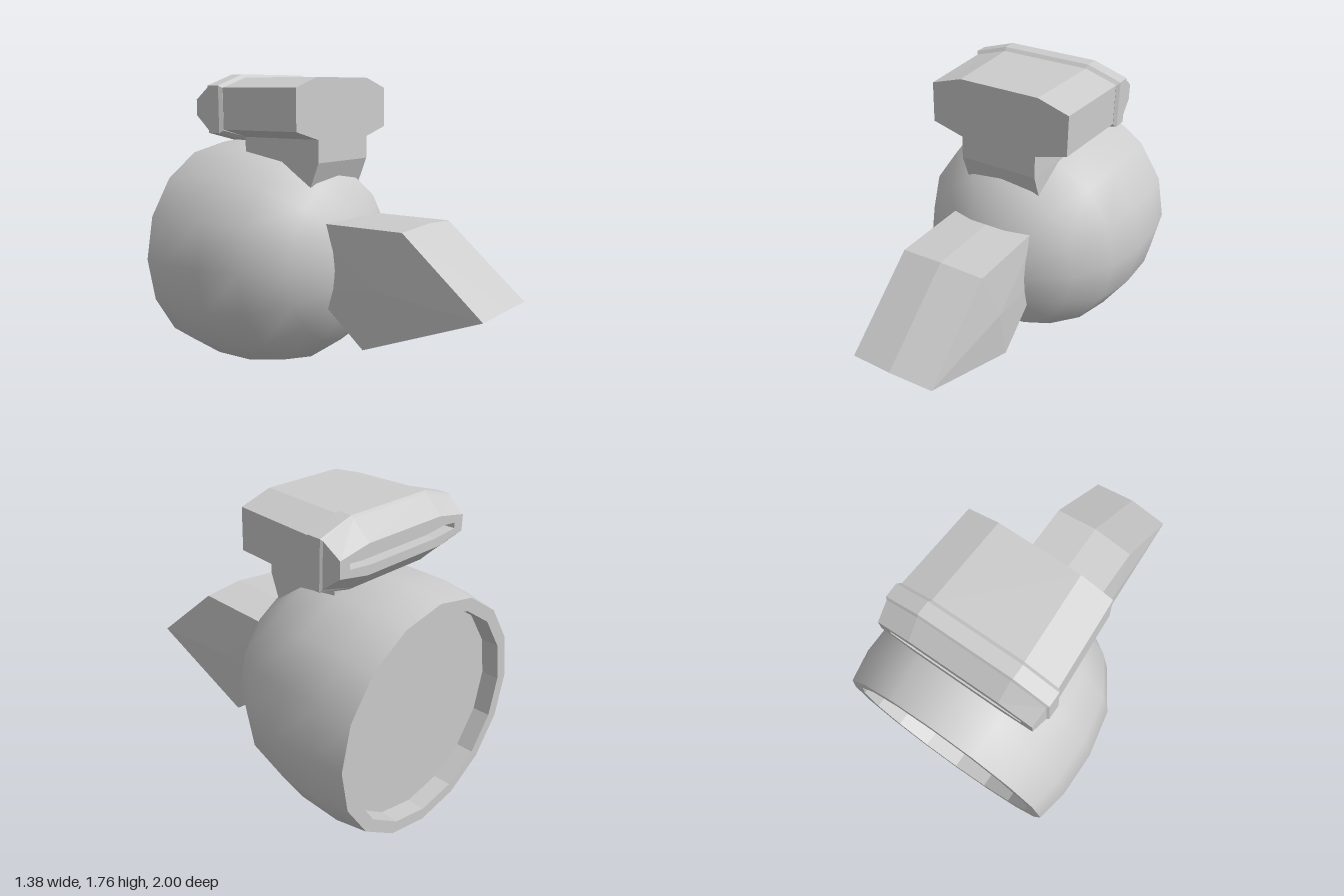
import * as THREE from 'three';

const V = (x, y, z) => new THREE.Vector3(x, y, z);

// Flat-shaded skin through equal rings, closed by a fan at each end
function loft(rings, startCentre, endCentre) {
  const pts = [];
  const n = rings[0].length;
  const last = rings[rings.length - 1];
  for (let i = 0; i < n; i++) {
    const j = (i + 1) % n;
    pts.push(startCentre, rings[0][i], rings[0][j]);
    for (let k = 0; k < rings.length - 1; k++) {
      const a = rings[k], b = rings[k + 1];
      pts.push(a[i], b[i], a[j], a[j], b[i], b[j]);
    }
    pts.push(endCentre, last[j], last[i]);
  }
  const g = new THREE.BufferGeometry().setFromPoints(pts);
  g.computeVertexNormals();
  return g;
}

// Eight-cornered section: flat top and bottom, sloping shoulders, upright ends
function section(z, flat, wide, top, shoulder, hip, bottom) {
  const right = [[flat, bottom], [wide, hip], [wide, shoulder], [flat, top]];
  const left = right.map(([x, y]) => [-x, y]).reverse();
  return [...right, ...left].map(([x, y]) => V(x, y, z));
}

export function createModel() {
  const model = new THREE.Group();
  const grey = new THREE.MeshStandardMaterial({ color: 0xcccccc });
  grey.name = 'lightGrey';
  const add = (name, geometry) => {
    const mesh = new THREE.Mesh(geometry, grey);
    mesh.name = name;
    model.add(mesh);
    return mesh;
  };
  const lathe = (profile) => new THREE.LatheGeometry(
    profile.map(([r, z]) => new THREE.Vector2(r, z)), 16).rotateX(Math.PI / 2).translate(0, 0.695, 0);

  // Round shell, open at the back
  add('bodyShell', lathe([[0.655, -1], [0.69, -0.82], [0.69, -0.56], [0.637, -0.296],
    [0.488, -0.072], [0.264, 0.077], [0, 0.13]]));

  // Rear rim and the recessed disc inside it
  const rim = lathe([[0, -0.9], [0.585, -0.9], [0.585, -1], [0.655, -1]]).toNonIndexed();
  rim.computeVertexNormals();
  add('rearRim', rim);

  // Angular snout: side outlines (z, y), a slightly fuller middle, bulged cheeks
  const side = [[-0.1, 0.95], [0.505, 0.95], [0.98, 0.545], [0.26, 0.27], [-0.1, 0.57]];
  const middle = [[-0.1, 0.967], [0.52, 0.967], [1, 0.56], [0.275, 0.245], [-0.1, 0.55]];
  const outline = (pts, x) => pts.map(([z, y]) => V(x, y, z));
  add('snout', loft([outline(side, 0.252), outline(middle, 0), outline(side, -0.252)],
    V(0.272, 0.62, 0.36), V(-0.272, 0.62, 0.36)));

  // Top housing, widening to the rear
  add('topHousing', loft([
    section(-0.05, 0.24, 0.425, 1.75, 1.692, 1.46, 1.41),
    section(-0.57, 0.265, 0.455, 1.75, 1.692, 1.46, 1.41),
  ], V(0, 1.55, -0.05), V(0, 1.55, -0.57)));

  // Neck below the housing; its front slopes back into the shell
  const neck = new THREE.BoxGeometry(1, 0.42, 1, 1, 3, 1).translate(0, 1.21, 0);
  const p = neck.attributes.position;
  for (let i = 0; i < p.count; i++) {
    const front = p.getZ(i) > 0;
    p.setX(i, Math.sign(p.getX(i)) * (front ? 0.235 : 0.27));
    p.setZ(i, front ? -0.05 - Math.max(0, 1.28 - p.getY(i)) * 0.4 : -0.555);
  }
  const neckFlat = neck.toNonIndexed();
  neckFlat.computeVertexNormals();
  add('neck', neckFlat);

  // Rear collar tapering to a face with a sunken slot
  add('slottedCollar', loft([
    section(-0.55, 0.26, 0.455, 1.75, 1.69, 1.455, 1.41),
    section(-0.57, 0.27, 0.47, 1.768, 1.705, 1.44, 1.393),
    section(-0.65, 0.27, 0.47, 1.768, 1.705, 1.44, 1.393),
    section(-0.66, 0.265, 0.46, 1.755, 1.695, 1.455, 1.405),
    section(-0.76, 0.26, 0.45, 1.66, 1.625, 1.535, 1.5),
    section(-0.76, 0.24, 0.385, 1.61, 1.595, 1.565, 1.55),
    section(-0.7, 0.24, 0.385, 1.61, 1.595, 1.565, 1.55),
  ], V(0, 1.58, -0.55), V(0, 1.58, -0.7)));

  return model;
}
